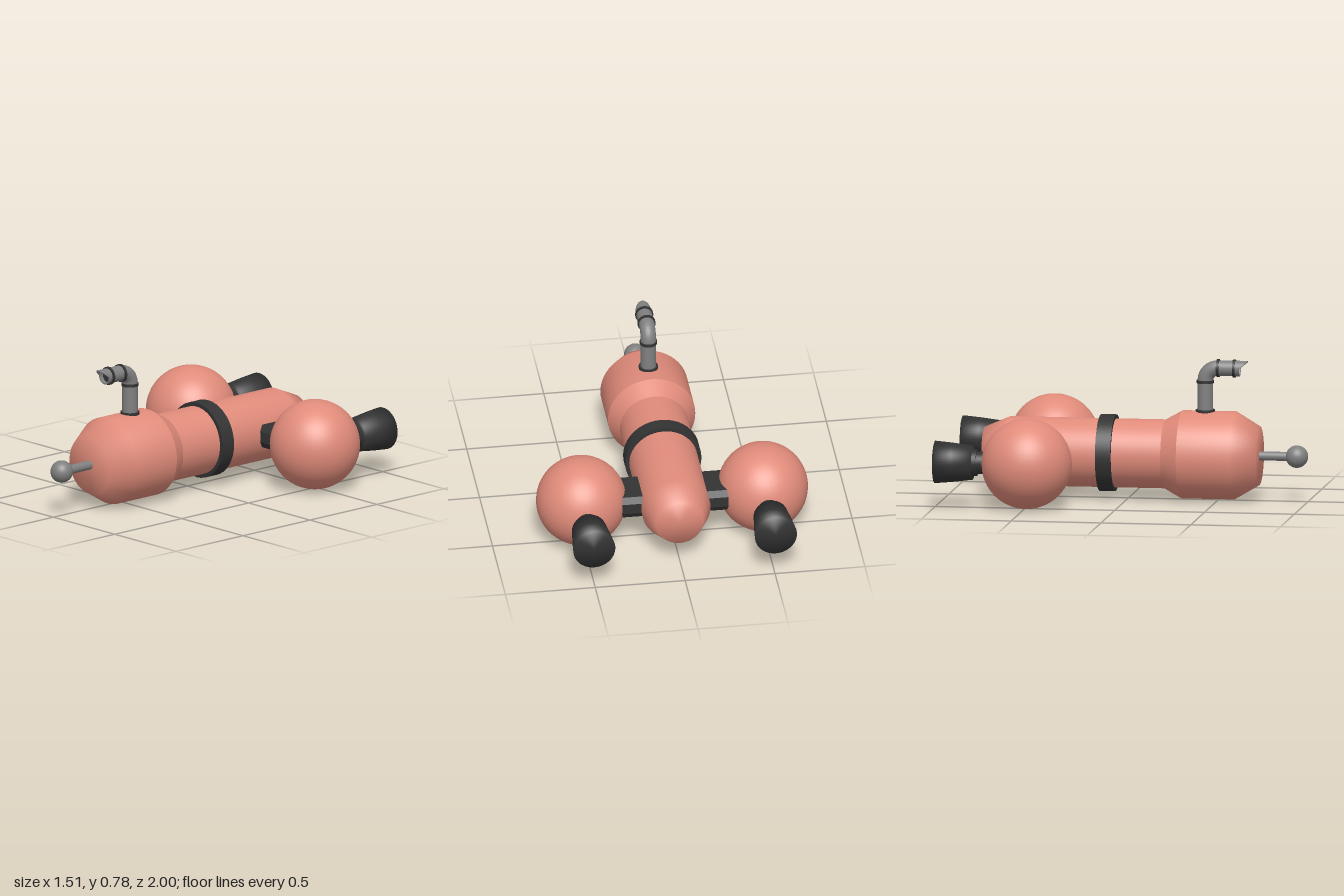
import * as THREE from 'three';

const CY = 0.256; // height of the main axis

export function createModel() {
  const model = new THREE.Group();
  const make = (name, color) => new THREE.MeshStandardMaterial({ name, color });
  const salmon = make('salmon', 0xe08b7a);
  const black = make('black', 0x333333);
  const grey = make('grey', 0x808080);
  const openGrey = make('openGrey', 0x808080);
  openGrey.side = THREE.DoubleSide;

  const add = (name, geo, mat, x = 0, y = 0, z = 0, parent = model) => {
    const m = new THREE.Mesh(geo, mat);
    m.name = name;
    m.position.set(x, y, z);
    parent.add(m);
    return m;
  };
  // Turned shape along z, from [radius, z] pairs in rising z
  const turned = (pts) => new THREE.LatheGeometry(pts.map(p => new THREE.Vector2(...p)), 48).rotateX(Math.PI / 2);
  // Cylinder along z between two depths
  const rod = (r, z0, z1) => new THREE.CylinderGeometry(r, r, z1 - z0, 40).rotateX(Math.PI / 2).translate(0, 0, (z0 + z1) / 2);

  // Main body
  add('frontBody', turned([[0.243, 0.3], [0.243, 0.595], [0.163, 0.73], [0, 0.73]]), salmon, 0, CY);
  add('shoulder', turned([[0.19, 0.205], [0.243, 0.3]]), salmon, 0, CY);
  add('rearBody', turned([[0, -0.8], [0.13, -0.8], [0.19, -0.66], [0.19, -0.11], [0.19, 0.205]]), salmon, 0, CY);
  add('bodyRing', rod(0.212, -0.155, -0.07), black, 0, CY);

  // Nose probe
  add('probeRod', rod(0.025, 0.7, 0.92), grey, 0, CY);
  add('probeBall', new THREE.SphereGeometry(0.062, 32, 24), grey, 0, CY, 0.938);

  // Side pods with chamfered struts and nozzles
  const section = new THREE.Shape([
    [-0.125, -0.03], [-0.103, -0.064], [0.103, -0.064], [0.125, -0.03],
    [0.125, 0.03], [0.103, 0.064], [-0.103, 0.064], [-0.125, 0.03],
  ].map(p => new THREE.Vector2(...p)));
  const strut = new THREE.ExtrudeGeometry(section, { depth: 0.22, bevelEnabled: false })
    .translate(0, 0, -0.11).rotateY(Math.PI / 2);
  for (const s of [1, -1]) {
    const pod = new THREE.Group();
    pod.name = s > 0 ? 'leftPod' : 'rightPod';
    pod.position.set(s * 0.505, CY, 0);
    model.add(pod);
    add('podSphere', new THREE.SphereGeometry(0.249, 48, 32), salmon, 0, 0, -0.49, pod);
    add('strut', strut, black, -s * 0.26, 0, -0.497, pod);
    add('nozzleNeck', rod(0.062, -0.77, -0.7), black, 0, 0, 0, pod);
    add('nozzleCollar', rod(0.073, -0.8, -0.765), black, 0, 0, 0, pod);
    add('nozzle', turned([[0, -1], [0.117, -1], [0.108, -0.9], [0.094, -0.79], [0, -0.79]]), black, 0, 0, 0, pod);
  }

  // Bent pipe on top
  const R = 0.043, PY = 0.739, PZ = 0.428, bend = 0.069;
  const upright = (r, y0, y1) => new THREE.CylinderGeometry(r, r, y1 - y0, 32).translate(0, (y0 + y1) / 2, PZ);
  add('pipeFlange', upright(0.053, 0.49, 0.508), black);
  add('pipeUpright', upright(R, 0.48, 0.67), grey);
  add('pipeCollar', upright(0.048, 0.655, 0.671), black);
  const elbow = new THREE.QuadraticBezierCurve3(); // replaced below by a circular arc
  elbow.getPoint = (t, out = new THREE.Vector3()) => {
    const a = t * Math.PI / 2;
    return out.set(0, PY - bend + bend * Math.sin(a), PZ + bend * (1 - Math.cos(a)));
  };
  add('pipeElbow', new THREE.TubeGeometry(elbow, 16, R, 24), grey);
  add('pipeArm', rod(R, PZ + bend, 0.595), grey, 0, PY);
  add('innerBand', rod(0.05, 0.493, 0.507), black, 0, PY);
  add('outerBand', rod(0.05, 0.583, 0.597), black, 0, PY);

  // Open mouth: the upper half is drawn out into a slanted lip
  const lip = (r) => {
    const g = new THREE.CylinderGeometry(r, r, 0.03, 40, 1, true).rotateX(Math.PI / 2).translate(0, 0, 0.605);
    const p = g.attributes.position;
    for (let i = 0; i < p.count; i++) {
      if (p.getZ(i) > 0.6) p.setZ(i, 0.62 + 0.045 * Math.max(0, p.getY(i) / r));
    }
    return g;
  };
  add('mouthOuter', lip(R), openGrey, 0, PY);
  add('mouthInner', lip(0.036), openGrey, 0, PY);
  // Rim joining the two mouth walls
  const rim = new THREE.RingGeometry(0.036, R, 40, 1);
  const rp = rim.attributes.position;
  for (let i = 0; i < rp.count; i++) {
    const sine = rp.getY(i) / Math.hypot(rp.getX(i), rp.getY(i));
    rp.setZ(i, 0.62 + 0.045 * Math.max(0, sine));
  }
  rim.computeVertexNormals();
  add('mouthRim', rim, openGrey, 0, PY);

  return model;
}
